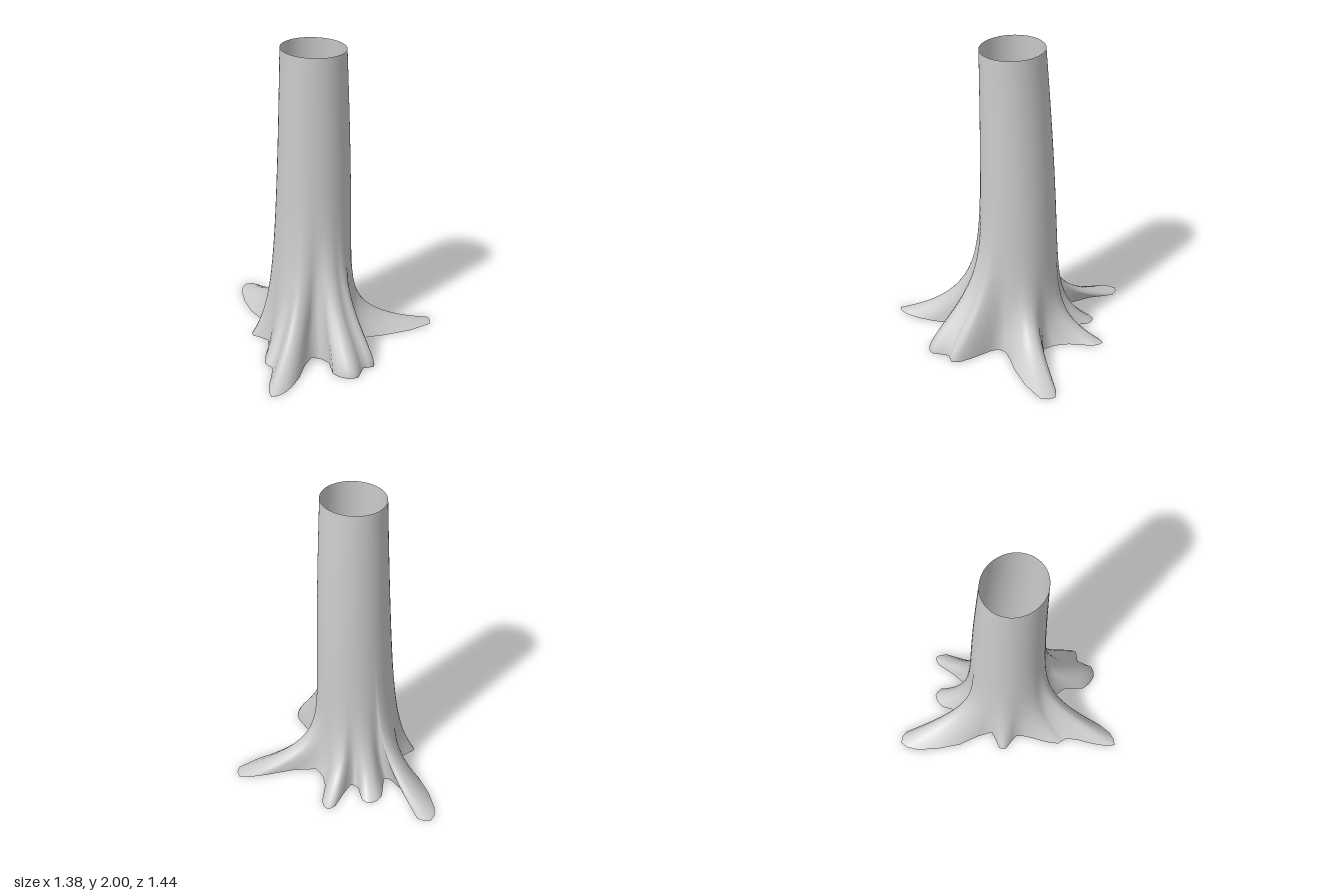
import * as THREE from 'three';

// Ground outline, one entry per root, going round from +x towards +z.
// h: height over which the root flares into the trunk, p: roundness of its shoulder, pts: [x, z]
const ROOTS = [
  { h: 0.34, p: 1.5, pts: [[0.39, -0.12], [0.51, -0.07], [0.64, -0.02], [0.685, 0.03], [0.645, 0.09], [0.69, 0.19], [0.65, 0.25], [0.54, 0.265], [0.44, 0.18]] },
  { h: 0.21, p: 1, pts: [[0.31, 0.2], [0.41, 0.44], [0.455, 0.63], [0.42, 0.72], [0.31, 0.61], [0.2, 0.46], [0.13, 0.45], [0.04, 0.33]] },
  { h: 0.2, p: 1, pts: [[-0.05, 0.215], [-0.165, 0.235], [-0.2, 0.2]] },
  { h: 0.14, p: 1, pts: [[-0.165, 0.08], [-0.39, 0], [-0.64, -0.17], [-0.69, -0.28], [-0.61, -0.32], [-0.48, -0.22], [-0.25, -0.13]] },
  { h: 0.15, p: 1, pts: [[-0.21, -0.15], [-0.3, -0.29], [-0.285, -0.385], [-0.22, -0.4], [-0.13, -0.325]] },
  { h: 0.13, p: 1, pts: [[-0.07, -0.33], [-0.115, -0.55], [-0.09, -0.605], [-0.02, -0.57], [0.06, -0.44]] },
  { h: 0.12, p: 1, pts: [[0.21, -0.35], [0.44, -0.6], [0.57, -0.72], [0.635, -0.65], [0.5, -0.34], [0.4, -0.2]] },
];
const SPLIT = 2; // outline steps between two given points

// Elliptical trunk without roots, as centre and radii at height y
function trunkAt(y) {
  const t = y / 2;
  const bulge = 0.02 * Math.sin(Math.PI * t); // slight swelling at the back
  return {
    cx: 0.0925 + 0.03 * t,
    cz: -0.0425 + 0.015 * t - bulge,
    rx: 0.2675 - 0.055 * t,
    rz: 0.2625 - 0.065 * t + bulge / 3,
  };
}

// Repeated averaging round a closed ring; turn is the step added on passing the seam
function smoothRing(values, passes, turn = 0) {
  const n = values.length;
  for (let s = 0; s < passes; s++) {
    values = values.map((v, i) => {
      const before = i ? values[i - 1] : values[n - 1] - turn;
      const after = i < n - 1 ? values[i + 1] : values[0] + turn;
      return (before + v + after) / 3;
    });
  }
  return values;
}

// One smoothed value per outline step, taken from the root it belongs to
function perStep(key) {
  return smoothRing(ROOTS.flatMap((r) => Array(r.pts.length * SPLIT).fill(r[key])), 5);
}

function trunkGeometry(rows) {
  const corners = ROOTS.flatMap((r) => r.pts.map(([x, z]) => new THREE.Vector3(x, 0, z)));
  const n = corners.length * SPLIT;
  const outline = new THREE.CatmullRomCurve3(corners, true).getPoints(n).slice(0, n);
  const flare = perStep('h');
  const shoulder = perStep('p');

  // Angle at which each outline point meets the trunk
  const base = trunkAt(0);
  let last = Math.atan2(outline[0].z - base.cz, outline[0].x - base.cx);
  const angles = smoothRing(outline.map(({ x, z }) => {
    const a = Math.atan2(z - base.cz, x - base.cx);
    last = a + Math.PI * 2 * Math.round((last - a) / (Math.PI * 2));
    return last;
  }), 12, Math.PI * 2);

  // Cross-sections, closest together near the ground
  const positions = [];
  const index = [];
  for (let k = 0; k <= rows; k++) {
    const y = 2 * Math.pow(k / rows, 2.1);
    const t = trunkAt(y);
    for (let i = 0; i < n; i++) {
      const w = Math.exp(-Math.pow(y / flare[i], shoulder[i]));
      const x = t.cx + t.rx * Math.cos(angles[i]);
      const z = t.cz + t.rz * Math.sin(angles[i]);
      positions.push(x + (outline[i].x - x) * w, y, z + (outline[i].z - z) * w);
      if (k < rows) {
        const a = k * n + i;
        const b = k * n + (i + 1) % n;
        index.push(a, a + n, b, b, a + n, b + n);
      }
    }
  }
  const geometry = new THREE.BufferGeometry();
  geometry.setAttribute('position', new THREE.Float32BufferAttribute(positions, 3));
  geometry.setIndex(index);
  geometry.computeVertexNormals();
  return geometry;
}

export function createModel() {
  const group = new THREE.Group();
  group.name = 'treeStump';
  // Hollow trunk flowing into spreading roots, open at both ends
  const material = new THREE.MeshStandardMaterial({ color: 0xcccccc, side: THREE.DoubleSide });
  const trunk = new THREE.Mesh(trunkGeometry(28), material);
  trunk.name = 'trunkWithRoots';
  group.add(trunk);
  return group;
}
